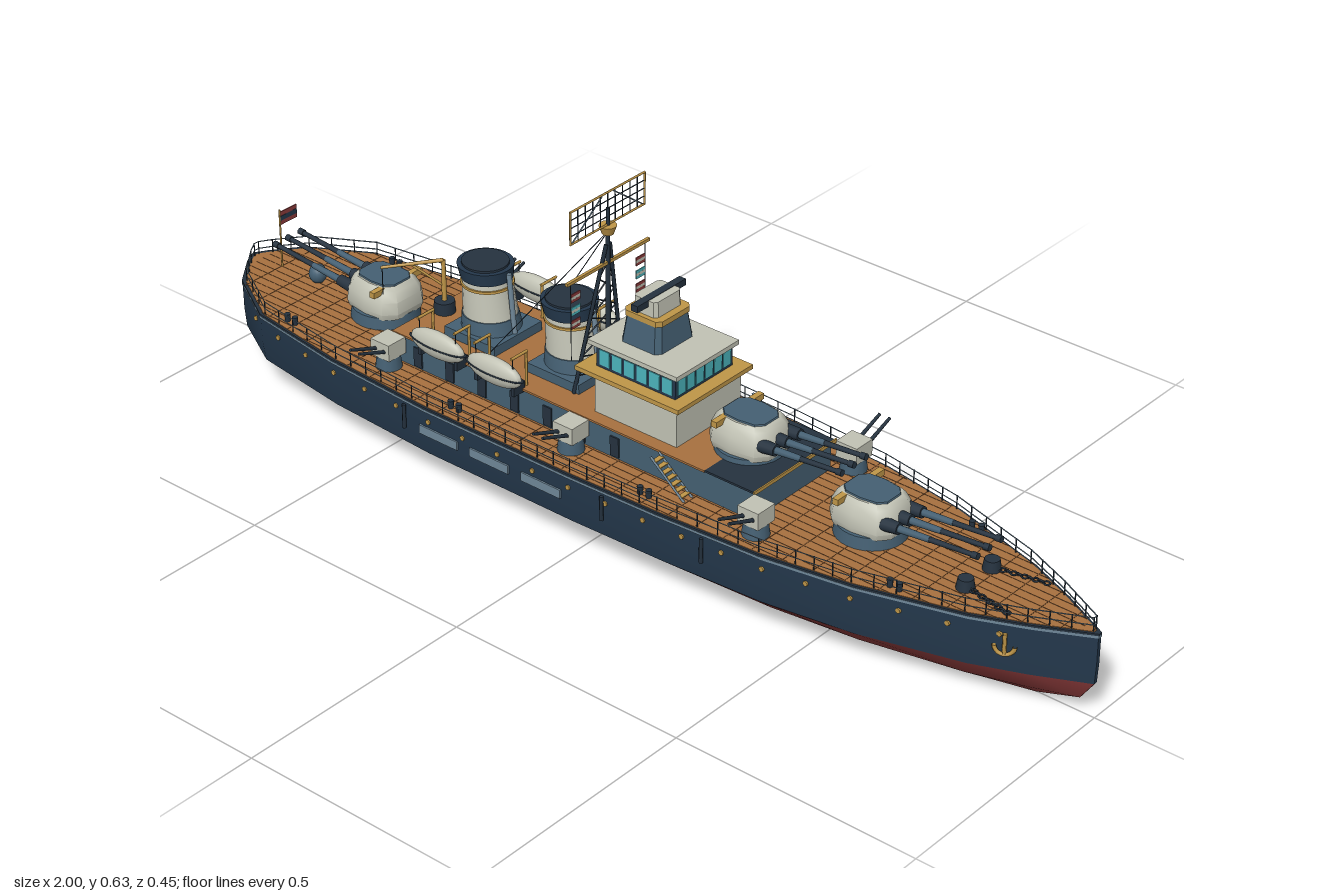
import * as THREE from 'three';
import { toCreasedNormals } from 'three/addons/utils/BufferGeometryUtils.js';

const COLORS = {
  navy: 0x24384c, red: 0x8c3b3b, wood: 0xa8713f, seam: 0x6b4527, cream: 0xc2c3b5,
  blue: 0x456073, dark: 0x25323f, gold: 0xbf9648, teal: 0x4cb5bd, steel: 0x6f8798,
};
const mats = {};
for (const k in COLORS) mats[k] = new THREE.MeshStandardMaterial({ color: COLORS[k], side: THREE.DoubleSide });

const V = (x, y, z) => new THREE.Vector3(x, y, z);
function add(parent, name, geo, mat, x = 0, y = 0, z = 0) {
  const m = new THREE.Mesh(geo, mats[mat]);
  m.name = name;
  m.position.set(x, y, z);
  parent.add(m);
  return m;
}
// box from ranges
const box = (p, name, mat, x0, x1, y0, y1, z0, z1) =>
  add(p, name, new THREE.BoxGeometry(x1 - x0, y1 - y0, z1 - z0), mat, (x0 + x1) / 2, (y0 + y1) / 2, (z0 + z1) / 2);
const cyl = (p, name, mat, rt, rb, y0, y1, x, z, n = 20) =>
  add(p, name, new THREE.CylinderGeometry(rt, rb, y1 - y0, n), mat, x, (y0 + y1) / 2, z);
// round bar between two points
function rod(p, name, mat, a, b, r, r2 = r, n = 5) {
  const d = b.clone().sub(a);
  const m = add(p, name, new THREE.CylinderGeometry(r2, r, d.length(), n), mat);
  m.position.copy(a).addScaledVector(d, 0.5);
  m.quaternion.setFromUnitVectors(V(0, 1, 0), d.normalize());
  return m;
}
function group(parent, name) {
  const g = new THREE.Group();
  g.name = name;
  parent.add(g);
  return g;
}
// skin stacked copies of an outline; levels are [y, scaleX, scaleZ, shiftX]
function loft(outline, levels, crease = 0.6) {
  const pos = [], n = outline.length;
  const pt = (l, i) => [outline[i % n][0] * l[1] + (l[3] || 0), l[0], outline[i % n][1] * l[2]];
  for (let j = 0; j < levels.length - 1; j++) for (let i = 0; i < n; i++) {
    const a = pt(levels[j], i), b = pt(levels[j], i + 1), c = pt(levels[j + 1], i + 1), d = pt(levels[j + 1], i);
    pos.push(...a, ...c, ...b, ...a, ...d, ...c);
  }
  const lo = levels[0], hi = levels[levels.length - 1];
  for (let i = 0; i < n; i++) {
    pos.push(lo[3] || 0, lo[0], 0, ...pt(lo, i), ...pt(lo, i + 1));
    pos.push(hi[3] || 0, hi[0], 0, ...pt(hi, i + 1), ...pt(hi, i));
  }
  const g = new THREE.BufferGeometry();
  g.setAttribute('position', new THREE.Float32BufferAttribute(pos, 3));
  return toCreasedNormals(g, crease);
}

// half breadth of the deck, bow to stern
const HALF = [[1, 0.004], [0.9, 0.055], [0.8, 0.098], [0.6, 0.155], [0.42, 0.185], [0.2, 0.199], [0, 0.205],
  [-0.35, 0.205], [-0.6, 0.19], [-0.82, 0.158], [-0.94, 0.088], [-0.985, 0.03], [-1, 0.006]];
const OUTLINE = [...HALF, ...HALF.map(([x, z]) => [x, -z]).reverse()];
function halfAt(x) {
  for (let i = 0; i < HALF.length - 1; i++) {
    const [xa, za] = HALF[i], [xb, zb] = HALF[i + 1];
    if (x <= xa && x >= xb) return za + (zb - za) * (xa - x) / (xa - xb);
  }
  return 0;
}
const DECK = 0.17, ROOF = 0.236;

function buildHull(ship) {
  const g = group(ship, 'hull');
  add(g, 'lowerHull', loft(OUTLINE, [[0, 0.88, 0.43], [0.03, 0.97, 0.71], [0.07, 0.997, 0.95]]), 'red');
  add(g, 'upperHull', loft(OUTLINE, [[0.07, 0.997, 0.95], [0.11, 0.999, 0.985], [0.168, 0.999, 0.995]]), 'navy');
  add(g, 'sheerStrake', loft(OUTLINE, [[0.164, 1, 1.003], [0.169, 1, 1.003]]), 'steel');
  add(g, 'deckEdge', loft(OUTLINE, [[0.169, 1, 1], [0.173, 1, 1]]), 'dark');
  add(g, 'deck', loft(OUTLINE, [[0.17, 0.99, 0.98], [0.174, 0.99, 0.98]]), 'wood');
  // plank seams
  for (let z = -0.19; z < 0.195; z += 0.019) {
    let x0 = -0.97, x1 = 0.97;
    while (halfAt(x0) * 0.97 < Math.abs(z)) x0 += 0.01;
    while (halfAt(x1) * 0.97 < Math.abs(z)) x1 -= 0.01;
    box(g, 'plankSeam', 'seam', x0, x1, 0.1738, 0.1745, z - 0.0007, z + 0.0007);
  }
  for (let x = -0.92; x < 0.95; x += 0.06)
    box(g, 'plankJoint', 'seam', x, x + 0.0014, 0.1738, 0.1745, -halfAt(x) * 0.97, halfAt(x) * 0.97);
  for (const s of [1, -1]) {
    for (const x of [-0.315, -0.19, -0.065]) box(g, 'sidePanel', 'steel', x - 0.047, x + 0.047, 0.114, 0.132, s * 0.203 - 0.003, s * 0.203 + 0.003);
    for (let x = -0.85; x < 0.9; x += 0.085) {
      const p = add(g, 'porthole', new THREE.CylinderGeometry(0.005, 0.005, 0.006, 8), 'gold', x, 0.145, s * halfAt(x) * 0.99);
      p.rotation.x = Math.PI / 2;
    }
    for (const x of [-0.4, 0.08, 0.3]) rod(g, 'fender', 'dark', V(x, 0.11, s * (halfAt(x) + 0.003)), V(x, 0.16, s * (halfAt(x) + 0.003)), 0.004);
    // anchors
    const z = s * (halfAt(0.86) + 0.002);
    rod(g, 'anchorShank', 'gold', V(0.86, 0.108, z), V(0.86, 0.148, z), 0.004);
    const fluke = add(g, 'anchorFluke', new THREE.TorusGeometry(0.018, 0.004, 6, 10, Math.PI), 'gold', 0.86, 0.124, z);
    fluke.rotation.set(0, s * 0.45, Math.PI);
    // anchor chain and capstan
    for (let i = 0; i < 10; i++) {
      const link = add(g, 'chainLink', new THREE.TorusGeometry(0.006, 0.002, 4, 8), 'dark', 0.76 + i * 0.01, 0.178, s * (0.04 + i * 0.002));
      link.rotation.x = i % 2 ? Math.PI / 2 : 0.6;
    }
    cyl(g, 'capstan', 'dark', 0.014, 0.018, DECK, 0.195, 0.75, s * 0.038, 12);
    for (const x of [0.66, -0.75, -0.3, 0.15]) for (const d of [-0.01, 0.01])
      cyl(g, 'bollard', 'dark', 0.006, 0.005, DECK, 0.19, x + d, s * halfAt(x) * 0.85, 8);
  }
}

function buildRailing(ship) {
  const g = group(ship, 'railing');
  const P = OUTLINE.map(([x, z]) => V(x * 0.988, 0, z * 0.97));
  P.forEach((a, i) => {
    const b = P[(i + 1) % P.length], len = a.distanceTo(b);
    for (const y of [0.186, 0.201]) rod(g, 'rail', 'steel', V(a.x, y, a.z), V(b.x, y, b.z), 0.0012, 0.0012, 4);
    const n = Math.max(1, Math.round(len / 0.04));
    for (let k = 0; k < n; k++) {
      const p = a.clone().lerp(b, k / n);
      rod(g, 'railPost', 'dark', V(p.x, DECK, p.z), V(p.x, 0.202, p.z), 0.0015, 0.0015, 4);
    }
  });
}

// triple gun turret, guns toward local +x
const HOUSE = [[0.068, 0.03], [0.05, 0.052], [0, 0.06], [-0.045, 0.056], [-0.066, 0.034]];
const HOUSE_LOOP = [...HOUSE, ...HOUSE.map(([x, z]) => [x, -z]).reverse()];
function buildTurret(ship, name, x, base, turn, reach) {
  const g = group(ship, name);
  g.position.set(x, base, 0);
  g.rotation.y = turn;
  cyl(g, 'barbette', 'blue', 0.064, 0.068, -0.025, 0.008, 0, 0, 28);
  add(g, 'gunHouse', loft(HOUSE_LOOP, [[0.005, 0.94, 0.94], [0.018, 1, 1], [0.042, 0.96, 0.95], [0.06, 0.84, 0.8], [0.067, 0.74, 0.7]], 0.8), 'cream');
  add(g, 'roofPlate', loft(HOUSE_LOOP, [[0.066, 0.7, 0.64], [0.07, 0.68, 0.62]]), 'blue');
  box(g, 'rangefinder', 'gold', -0.036, -0.024, 0.055, 0.067, -0.066, 0.066);
  for (const z of [-0.034, 0, 0.034]) {
    const at = (d) => V(0.05 + d, 0.036 + d * 0.09, z);
    rod(g, 'gunCollar', 'dark', at(0), at(0.035), 0.013, 0.011, 12);
    rod(g, 'gunBarrel', 'blue', at(0.03), at(reach * 0.5), 0.0075, 0.006, 10);
    rod(g, 'gunBarrel', 'dark', at(reach * 0.45), at(reach), 0.0055, 0.0045, 10);
    rod(g, 'gunMuzzle', 'dark', at(reach - 0.012), at(reach), 0.0065, 0.0065, 10);
  }
}

// twin anti-aircraft mounts along both sides
function buildSideGuns(ship) {
  for (const x of [-0.5, -0.05, 0.375]) for (const s of [1, -1]) {
    const g = group(ship, 'sideGun');
    cyl(g, 'gunPedestal', 'blue', 0.022, 0.026, DECK, 0.202, x, s * 0.138, 14);
    box(g, 'gunShield', 'cream', x - 0.023, x + 0.023, 0.2, 0.234, s * 0.138 - 0.023, s * 0.138 + 0.023);
    for (const d of [-0.011, 0.011]) rod(g, 'smallBarrel', 'dark', V(x + d, 0.215, s * 0.155), V(x + d, 0.242, s * 0.226), 0.004, 0.003, 8);
  }
}

function buildDeckhouse(ship) {
  const g = group(ship, 'deckhouse');
  box(g, 'deckhouseWalls', 'blue', -0.5, 0.345, DECK, 0.232, -0.11, 0.11);
  box(g, 'deckhouseRoof', 'wood', -0.51, 0.24, 0.232, ROOF, -0.116, 0.116);
  box(g, 'forwardRoof', 'dark', 0.24, 0.35, 0.232, ROOF, -0.114, 0.114);
  box(g, 'forwardRoofTrim', 'gold', 0.35, 0.353, 0.231, 0.238, -0.116, 0.116);
  for (const s of [1, -1]) {
    for (let x = -0.45; x < 0.1; x += 0.08) box(g, 'door', 'dark', x - 0.01, x + 0.01, 0.178, 0.218, s * 0.111 - 0.002, s * 0.111 + 0.002);
    // side stairs
    for (const d of [0, 0.022]) rod(g, 'stairStringer', 'steel', V(0.14, ROOF, s * (0.12 + d)), V(0.22, DECK, s * (0.12 + d)), 0.0025);
    for (let i = 0; i < 8; i++) box(g, 'stairTread', 'gold', 0.143 + i * 0.01, 0.153 + i * 0.01, 0.229 - i * 0.0082, 0.231 - i * 0.0082, s * 0.131 - 0.011, s * 0.131 + 0.011);
    // ship's boats on davits
    for (const x of [-0.375, -0.235]) {
      const boat = group(g, 'boat');
      const hull = add(boat, 'boatHull', new THREE.SphereGeometry(1, 16, 10), 'cream', x, 0.265, s * 0.136);
      hull.scale.set(0.066, 0.028, 0.017);
      const rim = add(boat, 'boatRim', new THREE.TorusGeometry(1, 0.06, 5, 20), 'dark', x, 0.265, s * 0.136);
      rim.scale.set(0.066, 0.0175, 0.03);
      rim.rotation.x = Math.PI / 2;
      for (const d of [-0.045, 0.045]) {
        rod(boat, 'davitPost', 'gold', V(x + d, ROOF, s * 0.1), V(x + d, 0.306, s * 0.1), 0.003);
        rod(boat, 'davitArm', 'gold', V(x + d, 0.306, s * 0.097), V(x + d, 0.306, s * 0.14), 0.003);
        rod(boat, 'davitFall', 'dark', V(x + d, 0.306, s * 0.136), V(x + d, 0.27, s * 0.136), 0.001);
        box(boat, 'boatCradle', 'dark', x + d - 0.004, x + d + 0.004, 0.228, 0.25, s * 0.126 - 0.018, s * 0.126 + 0.012);
      }
    }
  }
}

function buildFunnel(ship, x) {
  const g = group(ship, 'funnel');
  const ring = [];
  for (let i = 0; i < 24; i++) ring.push([Math.cos(i * Math.PI / 12), Math.sin(i * Math.PI / 12)]);
  const part = (name, mat, y0, y1, r0, r1) => add(g, name, loft(ring,
    [y0, y1].map((y, i) => [y, [r0, r1][i], [r0, r1][i] * 0.98, x - 0.01 + (0.3 - y) * 0.1])), mat);
  box(g, 'funnelPlinth', 'blue', x - 0.065, x + 0.06, ROOF, 0.255, -0.065, 0.065);
  part('funnelBase', 'blue', 0.25, 0.282, 0.058, 0.054);
  part('funnelBody', 'cream', 0.282, 0.358, 0.052, 0.047);
  part('funnelBand', 'gold', 0.34, 0.345, 0.051, 0.051);
  part('funnelCap', 'navy', 0.355, 0.38, 0.05, 0.054);
  part('funnelMouth', 'dark', 0.379, 0.384, 0.045, 0.045);
  rod(g, 'steamPipe', 'steel', V(x + 0.052, 0.25, 0), V(x + 0.04, 0.375, 0), 0.005, 0.005, 8);
}

function buildBridge(ship) {
  const g = group(ship, 'bridge');
  box(g, 'bridgeBase', 'cream', -0.035, 0.155, ROOF, 0.316, -0.089, 0.089);
  box(g, 'bridgeDeck', 'gold', -0.07, 0.17, 0.316, 0.325, -0.104, 0.104);
  box(g, 'wheelhouse', 'navy', -0.04, 0.143, 0.325, 0.37, -0.079, 0.079);
  for (let i = 0; i < 6; i++) {
    const z = -0.0625 + i * 0.025, x = -0.02 + i * 0.029;
    for (const e of [-0.041, 0.143]) box(g, 'window', 'teal', e - 0.001, e + 0.002, 0.331, 0.362, z - 0.0105, z + 0.0105);
    for (const s of [1, -1]) box(g, 'sideWindow', 'teal', x - 0.0115, x + 0.0115, 0.331, 0.362, s * 0.079 - 0.0015, s * 0.079 + 0.0015);
  }
  box(g, 'bridgeRoof', 'cream', -0.055, 0.152, 0.368, 0.377, -0.086, 0.086);
  // fire-control tower with its rangefinder
  const sq = [[1, 0.8], [0.8, 1], [-0.8, 1], [-1, 0.8], [-1, -0.8], [-0.8, -1], [0.8, -1], [1, -0.8]];
  add(g, 'controlTower', loft(sq, [[0.377, 0.046, 0.052, 0.035], [0.43, 0.04, 0.044, 0.035]]), 'blue');
  add(g, 'towerBand', loft(sq, [[0.429, 0.043, 0.046, 0.035], [0.44, 0.043, 0.046, 0.035]]), 'gold');
  add(g, 'director', loft(sq, [[0.44, 0.028, 0.037, 0.035], [0.47, 0.026, 0.036, 0.035]]), 'cream');
  box(g, 'directorRangefinder', 'dark', 0.03, 0.045, 0.458, 0.471, -0.066, 0.066);
}

function buildMast(ship) {
  const g = group(ship, 'mast'), X = -0.08;
  rod(g, 'mastPole', 'dark', V(X, ROOF, 0), V(X, 0.597, 0), 0.006, 0.0035, 8);
  const leg = (s, t) => V(X - 0.025 * t, 0.525 - 0.289 * t, s * (0.005 + 0.062 * t));
  for (const s of [1, -1]) {
    rod(g, 'mastLeg', 'dark', leg(s, 1), leg(s, 0), 0.004);
    for (let t = 0.1; t < 0.9; t += 0.13) rod(g, 'mastBrace', 'dark', leg(s, t), leg(-s, t + 0.13), 0.0015);
  }
  box(g, 'yardarm', 'gold', X - 0.003, X + 0.003, 0.485, 0.491, -0.112, 0.112);
  cyl(g, 'radarMount', 'gold', 0.017, 0.011, 0.546, 0.563, X, 0, 10);
  // signal flags
  for (const s of [1, -1]) {
    rod(g, 'halyard', 'dark', V(X, 0.488, s * 0.101), V(X, 0.33, s * 0.101), 0.0008);
    ['red', 'teal', 'red'].forEach((c, i) => {
      const y = 0.455 - i * 0.027;
      for (let k = 0; k < 3; k++) box(g, 'signalFlag', k === 1 ? 'cream' : c, X - 0.001, X + 0.001, y - (k - 1) * 0.0057 - 0.0028, y - (k - 1) * 0.0057 + 0.0028, s * 0.088 - 0.012, s * 0.088 + 0.012);
    });
    rod(g, 'stay', 'dark', V(X, 0.55, 0), V(-0.3, 0.25, s * 0.08), 0.0009);
  }
  // lattice radar
  const r = group(g, 'radar');
  for (const y of [0.564, 0.628]) rod(r, 'radarFrame', 'gold', V(X, y, -0.101), V(X, y, 0.101), 0.0022);
  for (const z of [-0.1, 0.1]) rod(r, 'radarFrame', 'gold', V(X, 0.564, z), V(X, 0.628, z), 0.0022);
  for (let i = 1; i < 4; i++) rod(r, 'radarBar', 'dark', V(X, 0.564 + i * 0.016, -0.1), V(X, 0.564 + i * 0.016, 0.1), 0.0011);
  for (let i = 1; i < 10; i++) rod(r, 'radarBar', 'dark', V(X, 0.564, -0.1 + i * 0.02), V(X, 0.628, -0.1 + i * 0.02), 0.0011);
  for (const s of [1, -1]) rod(r, 'radarStrut', 'steel', V(X, 0.566, s * 0.095), V(X, 0.626, s * 0.015), 0.0014);
}

function buildAftFittings(ship) {
  const g = group(ship, 'crane');
  cyl(g, 'cranePedestal', 'dark', 0.02, 0.024, DECK, 0.26, -0.485, 0, 14);
  rod(g, 'cranePost', 'gold', V(-0.485, 0.25, 0), V(-0.485, 0.345, 0), 0.005, 0.004, 8);
  rod(g, 'craneBoom', 'gold', V(-0.485, 0.345, 0), V(-0.57, 0.332, 0.08), 0.004, 0.003, 8);
  rod(g, 'craneStrut', 'gold', V(-0.485, 0.29, 0), V(-0.53, 0.338, 0.042), 0.0025);
  rod(g, 'craneCable', 'dark', V(-0.568, 0.332, 0.078), V(-0.568, 0.275, 0.078), 0.001);
  const f = group(ship, 'sternFlag');
  rod(f, 'flagStaff', 'gold', V(-0.918, DECK, 0), V(-0.918, 0.298, 0), 0.002);
  box(f, 'flag', 'red', -0.919, -0.917, 0.265, 0.293, -0.045, 0);
  box(f, 'flagStripe', 'navy', -0.9195, -0.9165, 0.274, 0.284, -0.045, 0);
  const v = add(ship, 'ventilator', new THREE.SphereGeometry(0.018, 14, 10), 'blue', -0.82, 0.194, 0);
  v.scale.y = 1.1;
}

export function createModel() {
  const ship = new THREE.Group();
  ship.name = 'battleship';
  buildHull(ship);
  buildRailing(ship);
  buildDeckhouse(ship);
  buildTurret(ship, 'foreTurret', 0.52, 0.19, 0, 0.2);
  buildTurret(ship, 'raisedTurret', 0.25, 0.238, 0, 0.18);
  buildTurret(ship, 'aftTurret', -0.64, 0.19, Math.PI, 0.21);
  buildSideGuns(ship);
  for (const x of [-0.36, -0.155]) buildFunnel(ship, x);
  buildBridge(ship);
  buildMast(ship);
  buildAftFittings(ship);
  return ship;
}
